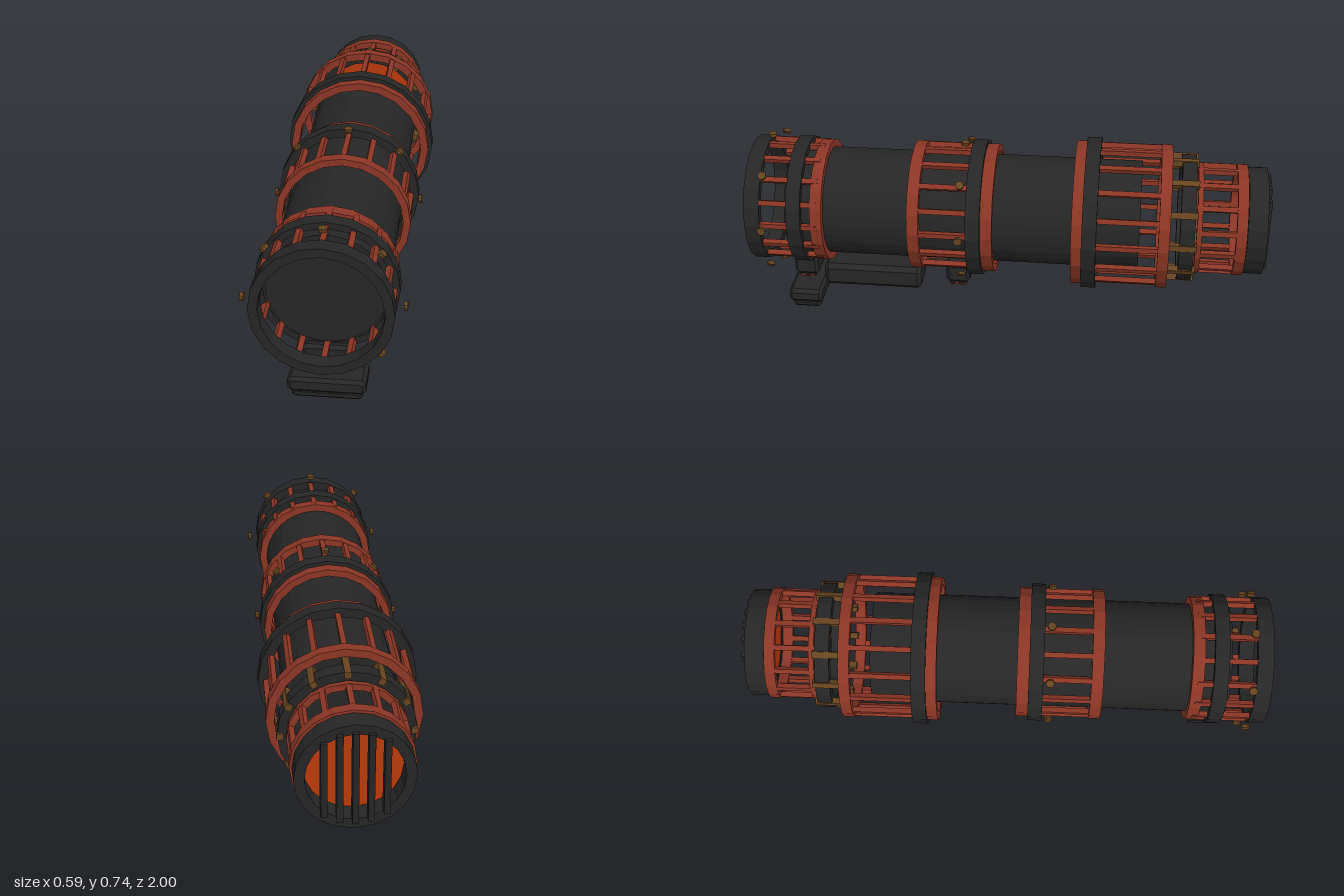
import * as THREE from 'three';

const flat = (name, color) => new THREE.MeshStandardMaterial({ name, color, flatShading: true });

export function createModel() {
  const black = flat('black metal', 0x262626);
  const rust = flat('rust red metal', 0x8b3626);
  const bronze = flat('bronze', 0x664420);
  const ember = flat('glowing orange', 0xb83a0c);
  ember.side = THREE.DoubleSide;

  const model = new THREE.Group();
  model.name = 'opticTube';
  const axis = new THREE.Group(); // everything centred on the tube axis
  axis.name = 'tubeAssembly';
  axis.position.y = 0.44;
  model.add(axis);

  const add = (parent, name, geometry, material) => {
    const mesh = new THREE.Mesh(geometry, material);
    mesh.name = name;
    parent.add(mesh);
    return mesh;
  };

  // Hollow collar around the z axis
  const ring = (name, inner, outer, z0, z1, material, sides = 20) => {
    const pts = [[inner, z0], [outer, z0], [outer, z1], [inner, z1], [inner, z0]];
    const g = new THREE.LatheGeometry(pts.map(p => new THREE.Vector2(...p)), sides);
    return add(axis, name, g.rotateX(Math.PI / 2), material);
  };

  // Copies of one small part set radially around the z axis
  const around = (name, count, radius, z, makeGeometry, material) => {
    const group = new THREE.Group();
    group.name = name + 's';
    for (let i = 0; i < count; i++) {
      const g = makeGeometry().translate(0, radius, z).rotateZ(i / count * Math.PI * 2);
      add(group, name, g, material);
    }
    axis.add(group);
  };
  const bars = (name, count, radius, z0, z1, material, size = 0.02) =>
    around(name, count, radius, (z0 + z1) / 2, () => new THREE.BoxGeometry(size, size, z1 - z0), material);

  // Box with every edge chamfered
  const block = (name, w, h, d, c, y, z, material) => {
    const a = w / 2 - c, b = h / 2 - c, k = c * 0.6;
    const s = new THREE.Shape([
      [-a + k, -b], [a - k, -b], [a, -b + k], [a, b - k],
      [a - k, b], [-a + k, b], [-a, b - k], [-a, -b + k],
    ].map(p => new THREE.Vector2(...p)));
    const g = new THREE.ExtrudeGeometry(s, {
      depth: d - 2 * c, bevelThickness: c, bevelSize: c, bevelSegments: 1,
    });
    g.translate(0, 0, -(d - 2 * c) / 2);
    add(model, name, g, material).position.set(0, y, z);
  };

  // Main tube
  const tube = new THREE.CylinderGeometry(0.21, 0.21, 1.36, 32).rotateX(Math.PI / 2);
  add(axis, 'mainTube', tube, black).position.z = 0.17;

  // Front cage
  ring('frontRim', 0.212, 0.245, 0.94, 1.0, black);
  ring('frontCollar', 0.225, 0.25, 0.78, 0.835, black);
  ring('frontBand', 0.21, 0.24, 0.7, 0.745, rust);
  bars('frontBar', 16, 0.23, 0.72, 0.95, rust);

  // Middle cage
  ring('middleFrontBand', 0.225, 0.252, 0.325, 0.37, rust);
  ring('middleRearBand', 0.225, 0.252, 0.045, 0.09, rust);
  ring('middleCollar', 0.235, 0.267, 0.09, 0.145, black);
  bars('middleBar', 16, 0.238, 0.06, 0.35, rust);

  // Wide rear cage
  ring('rearFrontBand', 0.25, 0.28, -0.3, -0.255, rust);
  ring('rearCollar', 0.26, 0.295, -0.35, -0.295, black);
  ring('rearBackBand', 0.25, 0.28, -0.622, -0.58, rust);
  bars('rearBar', 16, 0.265, -0.6, -0.28, rust);

  // Bronze pinned collar
  ring('pinnedCollar', 0.205, 0.245, -0.715, -0.66, black);
  bars('bronzePin', 12, 0.235, -0.725, -0.61, bronze, 0.024);

  // Narrow tail cage
  ring('tailFrontBand', 0.19, 0.215, -0.742, -0.722, rust);
  ring('tailBackBand', 0.19, 0.216, -0.91, -0.87, rust);
  bars('tailBar', 14, 0.203, -0.89, -0.72, rust);
  ring('tailRim', 0.17, 0.207, -0.985, -0.912, black);

  // Glowing plate behind the tail grille
  add(axis, 'glowPlate', new THREE.CircleGeometry(0.19, 32), ember).position.z = -0.914;
  for (let i = -2; i <= 2; i++) {
    const x = i * 0.053;
    const h = 2 * Math.sqrt(0.18 ** 2 - x * x);
    const slat = add(axis, 'grilleSlat', new THREE.BoxGeometry(0.022, h, 0.045), black);
    slat.position.set(x, 0, -0.9775);
  }

  // Standoff bolts
  for (const z of [0.925, 0.17]) {
    around('bolt', 8, 0.275, z, () => new THREE.CylinderGeometry(0.016, 0.016, 0.013, 10), bronze);
  }

  // Mounting blocks under the tube
  for (const z of [0.815, 0.2]) {
    block('mountBlock', 0.174, 0.085, 0.095, 0.012, 0.173, z, black);
    block('mountNeck', 0.15, 0.03, 0.07, 0.006, 0.134, z, black);
    block('mountPad', 0.142, 0.014, 0.064, 0.003, 0.12, z, rust);
  }

  // Lower rail and foot
  block('lowerRail', 0.15, 0.096, 0.393, 0.015, 0.127, 0.549, black);
  block('footTop', 0.278, 0.058, 0.135, 0.012, 0.058, 0.815, black);
  block('footSole', 0.25, 0.032, 0.11, 0.009, 0.016, 0.815, black);

  return model;
}
